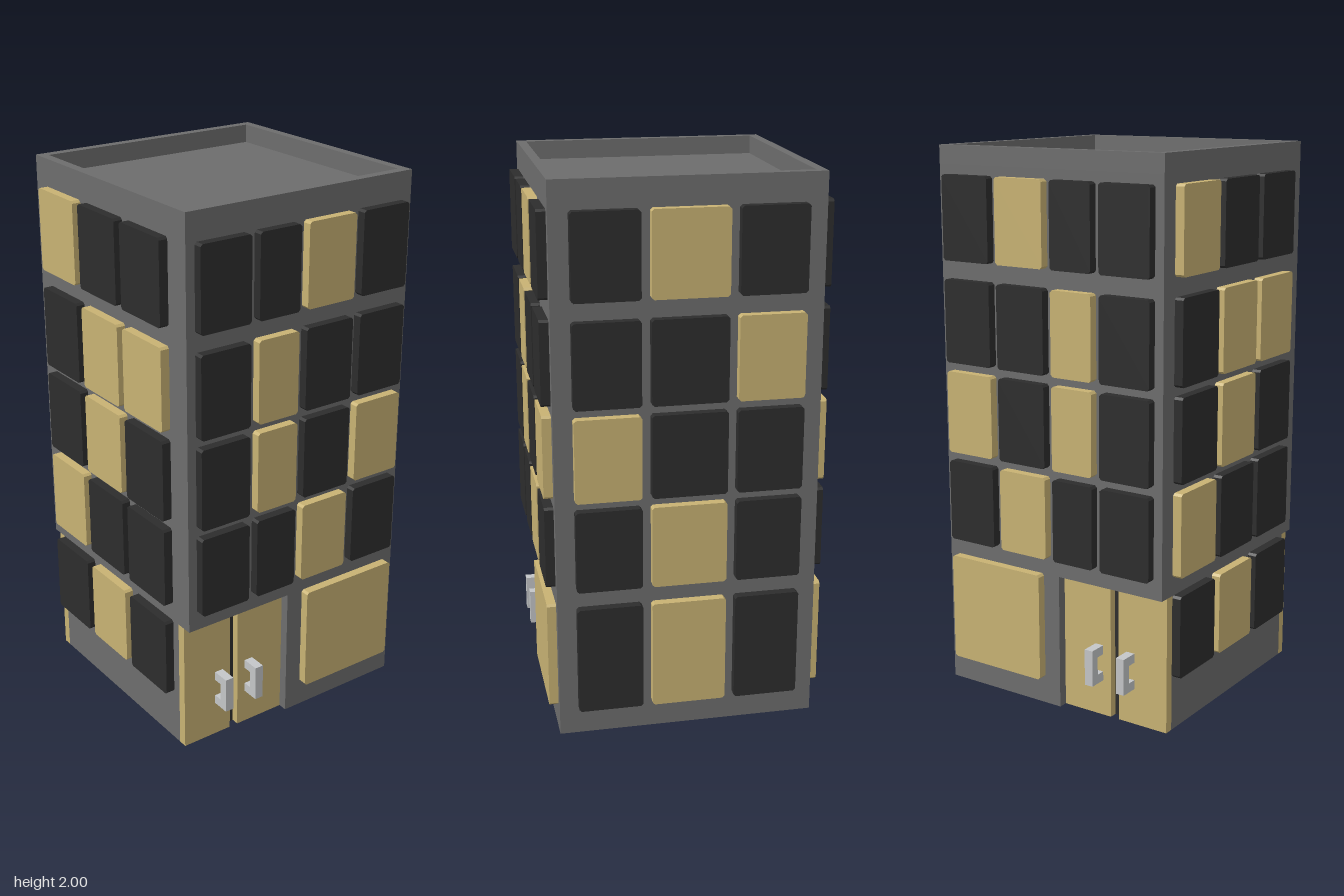
import * as THREE from 'three';

const HALF = 0.467;   // half width of the tower
const DEPTH = 0.033;  // thickness of panes, doors and handle bars

const material = (name, color) => {
  const m = new THREE.MeshStandardMaterial({ color });
  m.name = name;
  return m;
};

export function createModel() {
  const wall = material('wallGrey', 0x6d6d6d);
  const dark = material('darkGlass', 0x2d2d2d);
  const gold = material('litGold', 0xc8b273);
  const silver = material('handleSilver', 0xc4c6c8);

  const model = new THREE.Group();
  model.name = 'towerBlock';

  const add = (parent, name, geometry, mat, x = 0, y = 0, z = 0) => {
    const mesh = new THREE.Mesh(geometry, mat);
    mesh.name = name;
    mesh.position.set(x, y, z);
    parent.add(mesh);
    return mesh;
  };
  // Box given by its two opposite corners
  const box = (parent, name, mat, [x0, y0, z0], [x1, y1, z1]) =>
    add(parent, name, new THREE.BoxGeometry(x1 - x0, y1 - y0, z1 - z0), mat,
      (x0 + x1) / 2, (y0 + y1) / 2, (z0 + z1) / 2);

  const polygon = (points) => new THREE.Shape(points.map(([x, y]) => new THREE.Vector2(x, y)));
  const square = (h) => [[-h, -h], [h, -h], [h, h], [-h, h]];
  // Plan outline raised upward
  const raise = (shape, height) =>
    new THREE.ExtrudeGeometry(shape, { depth: height, bevelEnabled: false }).rotateX(-Math.PI / 2);

  // Ground floor, notched at two corners for the entrances
  const footprint = polygon([
    [-HALF, -0.4], [-0.033, -0.4], [-0.033, -HALF], [HALF, -HALF],
    [HALF, HALF], [-0.033, HALF], [-0.033, 0.4], [-HALF, 0.4],
  ]);
  add(model, 'groundFloor', raise(footprint, 0.5), wall);

  // Upper floors and the raised rim around the sunken roof
  box(model, 'upperFloors', wall, [-HALF, 0.5, -HALF], [HALF, 1.933, HALF]);
  const rim = polygon(square(HALF));
  rim.holes.push(polygon(square(0.433).reverse()));
  add(model, 'roofParapet', raise(rim, 0.067), wall, 0, 1.933, 0);

  // Window block with clipped corners, standing out from the wall
  const pane = (parent, [x0, x1], [y0, y1], mat) => {
    const c = 0.008;
    const shape = polygon([
      [x0 + c, y0], [x1 - c, y0], [x1, y0 + c], [x1, y1 - c],
      [x1 - c, y1], [x0 + c, y1], [x0, y1 - c], [x0, y0 + c],
    ]);
    const geometry = new THREE.ExtrudeGeometry(shape, { depth: DEPTH, bevelEnabled: false });
    add(parent, mat === gold ? 'litWindow' : 'darkWindow', geometry, mat, 0, 0, HALF);
  };

  const floors = [[1.6, 1.9], [1.233, 1.533], [0.9, 1.2], [0.567, 0.867]];
  const face = (name, angle) => {
    const group = new THREE.Group();
    group.name = name;
    group.rotation.y = angle;
    model.add(group);
    return group;
  };
  // Pattern rows run along the columns: G is lit, D is dark
  const windows = (group, columns, rows, pattern) =>
    pattern.forEach((line, r) => columns.forEach((column, i) =>
      pane(group, column, rows[r], line[i] === 'G' ? gold : dark)));

  // Front and back: windows, shop pane and a double door, mirrored
  for (const s of [1, -1]) {
    const group = face(s > 0 ? 'frontFace' : 'backFace', s > 0 ? 0 : Math.PI);
    const span = (a, b) => (s > 0 ? [a, b] : [-b, -a]);
    windows(group,
      [span(-0.433, -0.233), span(-0.2, -0.033), span(0, 0.2), span(0.233, 0.433)],
      floors, ['DDGD', 'DGDD', 'DGDG', 'DDGD']);
    pane(group, span(0.033, 0.433), [0.1, 0.5], gold);

    const part = (name, mat, a, b, y0, y1, z0, z1) => {
      const [x0, x1] = span(a, b);
      box(group, name, mat, [x0, y0, z0], [x1, y1, z1]);
    };
    part('doorGap', dark, -0.267, -0.233, 0, 0.5, 0.4, 0.405);
    part('door', gold, -HALF, -0.267, 0, 0.5, 0.4, 0.433);
    part('door', gold, -0.233, -0.033, 0, 0.5, 0.4, 0.433);
    for (const x of [-0.333, -0.2]) {
      part('handleBar', silver, x, x + DEPTH, 0.133, 0.267, 0.467, 0.5);
      part('handleFoot', silver, x, x + DEPTH, 0.133, 0.167, 0.433, 0.467);
      part('handleFoot', silver, x, x + DEPTH, 0.233, 0.267, 0.433, 0.467);
    }
  }

  // The +x side
  windows(face('leftFace', Math.PI / 2),
    [[-0.4, -0.167], [-0.133, 0.133], [0.167, 0.4]],
    [...floors, [0.1, 0.5]], ['DGD', 'DDG', 'GDD', 'DGD', 'DGD']);

  // The -x side, with shorter ground windows
  windows(face('rightFace', -Math.PI / 2),
    [[-0.4, -0.167], [-0.133, 0.1], [0.133, 0.367]],
    [...floors, [0.2, 0.5]], ['GDD', 'DGG', 'DGD', 'GDD', 'DGD']);

  return model;
}
